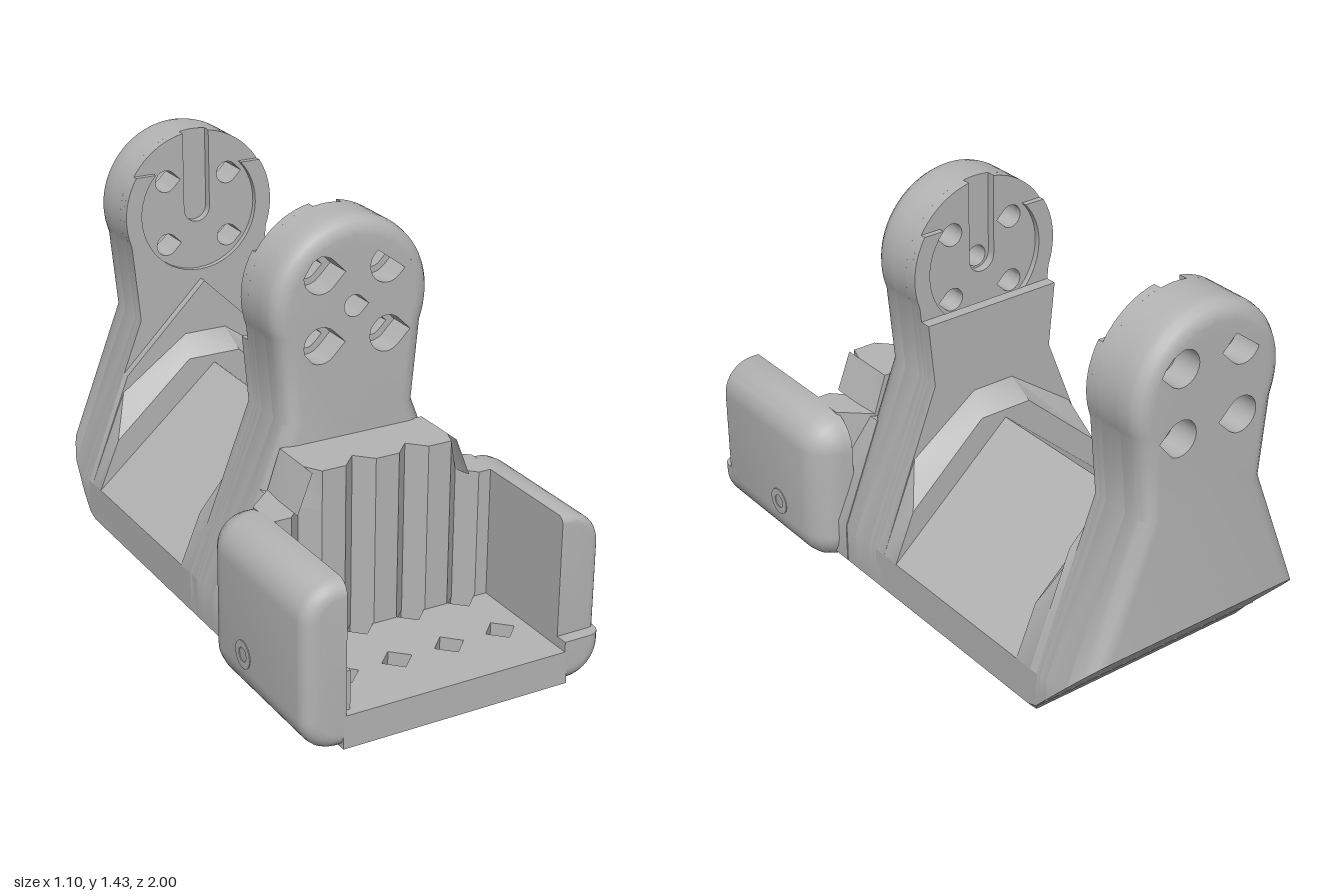
import * as THREE from 'three';
import { toCreasedNormals } from 'three/addons/utils/BufferGeometryUtils.js';

const CY = 1.15, R = 0.285; // centre and radius of the round arm head
const V = (x, y) => new THREE.Vector2(x, y);

// Half width of the bracket at a height
const EDGE = [[0.01, 0.43], [0.05, 0.465], [0.19, 0.465], [0.24 + 0.53, 0.24], [1.05, 0.267]];
function halfWidth(y) {
  if (y > 1.05) return Math.sqrt(Math.max(0, R * R - (y - CY) ** 2));
  for (let i = 1; i < EDGE.length; i++) {
    const [y0, w0] = EDGE[i - 1], [y1, w1] = EDGE[i];
    if (y <= y1) return w0 + (w1 - w0) * (y - y0) / (y1 - y0);
  }
  return 0.267;
}

// Points of an arc
function arc(cx, cy, r, a, b, n) {
  return Array.from({ length: n + 1 }, (_, i) => {
    const t = a + (b - a) * i / n;
    return V(cx + r * Math.cos(t), cy + r * Math.sin(t));
  });
}
const mirror = (pts) => [...pts, ...pts.map((p) => V(-p.x, p.y)).reverse()];
const foot = () => EDGE.map(([y, w]) => V(w, y));

// Bracket outline cut off flat at a height
function clipped(top) {
  return mirror([...EDGE.filter(([y]) => y < top).map(([y, w]) => V(w, y)), V(halfWidth(top), top)]);
}

// Extrusion through a table of stations, with a rule that moves the points of each station
function loft(pts, table, rule, holes = []) {
  const shape = new THREE.Shape(pts);
  holes.forEach((h) => shape.holes.push(new THREE.Path(h)));
  const n = table.length - 1;
  const g = new THREE.ExtrudeGeometry(shape, { depth: n, steps: n, bevelEnabled: false });
  const p = g.attributes.position;
  for (let i = 0; i < p.count; i++) {
    const s = table[Math.round(p.getZ(i))];
    const [x, y] = rule ? rule(p.getX(i), p.getY(i), s) : [p.getX(i), p.getY(i)];
    p.setXYZ(i, x, y, s.z);
  }
  return toCreasedNormals(g, 0.55);
}
const stations = (...zs) => zs.map((z) => ({ z }));

// Raises the underside to s.floor and rounds the rim by s.inset
function armRule(x, y, s) {
  const onRim = Math.abs(x) > halfWidth(y) - 0.004 || Math.hypot(x, y - CY) > R - 0.004 && y > 1.05;
  if (!onRim) return [x, y];
  y = Math.max(y, s.floor ?? 0.01);
  const d = s.inset ?? 0, sx = Math.sign(x);
  if (y > CY) {
    const k = (R - d) / R;
    return [x * k, CY + (y - CY) * k];
  }
  return [sx * (Math.min(Math.abs(x), halfWidth(y)) - d), y];
}

// Teardrop hole with its tip along dir
function teardrop(cx, cy, r, dir) {
  const pts = [...arc(0, 0, r, Math.PI / 4, Math.PI * 7 / 4, 18), V(r * Math.SQRT2, 0)];
  const out = pts.map((p) => V(cx + dir * p.x, cy + p.y));
  return dir < 0 ? out.reverse() : out;
}

export function createModel() {
  const grey = new THREE.MeshStandardMaterial({ color: 0xb4b4b4 });
  grey.name = 'plain grey';
  const model = new THREE.Group();
  const add = (name, geometry, parent = model) => {
    const m = new THREE.Mesh(geometry, grey);
    m.name = name;
    parent.add(m);
    return m;
  };

  // Roof-shaped base between the arms
  const roof = [V(0.43, 0.01), V(0.465, 0.05), V(0.465, 0.19), V(0, 0.6), V(-0.465, 0.19), V(-0.465, 0.05), V(-0.43, 0.01)];
  add('ridgedBase', loft(roof, [{ z: -0.765, f: 0.065 }, { z: -0.72, f: 0.01 }, { z: 0.12, f: 0.01 }],
    (x, y, s) => [x, Math.max(y, s.f)]));
  add('baseFront', loft(clipped(0.56), stations(0.3, 0.42)));

  // Arms, built from inner face outwards in layers
  const a0 = Math.asin((1.05 - CY) / R);
  const full = [...foot(), ...arc(0, CY, R, a0, Math.PI - a0, 48).slice(1, -1),
    ...foot().map((p) => V(-p.x, p.y)).reverse()];

  // Rim around the open-topped round recess
  const cut = 1.3, rr = 0.225, ac = Math.asin((cut - CY) / rr), ao = Math.asin((cut - CY) / R);
  const rim = [...foot(), ...arc(0, CY, R, a0, ao, 10).slice(1),
    ...arc(0, CY, rr, ac, -Math.PI - ac, 36),
    ...arc(0, CY, R, Math.PI - ao, Math.PI - a0, 10).slice(0, -1),
    ...foot().map((p) => V(-p.x, p.y)).reverse()];

  // Layer with a slot running down from the top
  const sw = 0.05, as = Math.acos(sw / R);
  const slotted = [...foot(), ...arc(0, CY, R, a0, as, 20).slice(1),
    ...arc(0, CY, sw, 0, -Math.PI, 14),
    ...arc(0, CY, R, Math.PI - as, Math.PI - a0, 20).slice(0, -1),
    ...foot().map((p) => V(-p.x, p.y)).reverse()];

  function arm(name, depth, dir, centreHole, floor) {
    const g = new THREE.Group();
    g.name = name;
    const at = (z, inset = 0) => ({ z, inset, floor: floor(z) });
    const holes = (r) => {
      const list = [];
      for (const x of [-0.12, 0.12]) for (const y of [1.03, 1.265]) list.push(teardrop(x, y, r, dir));
      return list;
    };
    const centre = centreHole ? [teardrop(0, 1.145, 0.037, dir)] : [];
    add('recessRim', loft(rim, [at(0), at(0.02)], armRule), g);
    add('slottedLayer', loft(slotted, [at(0.02), at(0.05)], armRule, holes(0.04)), g);
    add('armCore', loft(full, [at(0.05), at(depth - 0.1)], armRule, [...holes(0.04), ...centre]), g);
    const round = [0, 1, 2, 3, 4].map((i) => {
      const t = i * Math.PI / 8;
      return at(depth - 0.055 + 0.055 * Math.sin(t), 0.055 * (1 - Math.cos(t)));
    });
    add('roundedOuterLayer', loft(full, [at(depth - 0.1), ...round], armRule, [...holes(0.062), ...centre]), g);
    model.add(g);
    return g;
  }
  const front = arm('frontArm', 0.23, 1, true, () => 0.01);
  front.position.z = 0.11;
  const rear = arm('rearArm', 0.24, -1, false, (w) => 0.063 + 1.07 * w);
  rear.position.z = -0.76;
  rear.rotation.y = Math.PI;

  // Step and gusset on the inner faces of the arms
  add('frontArmStep', loft(clipped(1.0), stations(0.07, 0.11)));
  add('rearGusset', loft([V(-0.465, 0.19), V(0.465, 0.19), V(halfWidth(0.58), 0.58), V(0, 0.89), V(-halfWidth(0.58), 0.58)],
    stations(-0.765, -0.73)));

  // Sloping shoulders where the arms meet the roof
  const shoulder = mirror([V(0.46, 0.1), V(0.465, 0.19), V(0.39, 0.37), V(0.1, 0.63)]);
  const lean = (x, y, s) => {
    if (!s.up || y < 0.3) return [x, y];
    return Math.abs(x) > 0.2 ? [x * 0.85, 0.52] : [x * 0.8, 0.7];
  };
  add('frontShoulder', loft(shoulder, [{ z: 0 }, { z: 0.07, up: true }], lean));
  add('rearShoulder', loft(shoulder, [{ z: -0.73, up: true }, { z: -0.66 }], lean));

  // Tray floor with diamond openings
  const DX = [-0.285, -0.09, 0.105, 0.3], d = 0.055;
  const diamonds = [];
  for (const x of DX) for (const z of [0.54, 0.78]) diamonds.push([V(x - d, z), V(x, z - d), V(x + d, z), V(x, z + d)]);
  add('trayFloor', loft([V(-0.41, 0.34), V(0.41, 0.34), V(0.41, 1), V(-0.41, 1)], stations(-0.115, 0), null, diamonds)
    .rotateX(Math.PI / 2));

  // Fluted block behind the tray
  const flutes = [];
  for (const x of [...DX].reverse()) flutes.push(V(x + d, 0.545), V(x, 0.488), V(x - d, 0.545));
  const block = [V(-0.41, 0.42), V(-0.31, 0.33), V(0.31, 0.33), V(0.41, 0.42), V(0.41, 0.545), ...flutes, V(-0.41, 0.545)];
  add('flutedBlock', loft(block, stations(-0.57, -0.1)).rotateX(Math.PI / 2));
  add('flutedBlockTop', loft(block, stations(-0.705, -0.57), (x, y, s) => {
    const w = halfWidth(-s.z);
    return [THREE.MathUtils.clamp(x, -w, w), y];
  }).rotateX(Math.PI / 2));

  // Tray side walls, rounded at both ends
  const wall = [V(0.4, 0), ...arc(0.425, 0.12, 0.12, -Math.PI / 2, 0, 10),
    ...arc(0.425, 0.45, 0.12, 0, Math.PI / 2, 10), V(0.4, 0.57)];
  const wallRule = (x, y, s) => {
    const cx = Math.min(Math.abs(x), 0.425), cy = THREE.MathUtils.clamp(y, 0.12, 0.45);
    const k = 1 - (s.inset ?? 0) / 0.12;
    return [Math.sign(x) * (cx + (Math.abs(x) - cx) * k), Math.min(cy + (y - cy) * k, s.top ?? 1)];
  };
  const quarter = (z, r, out, top) => [0, 1, 2, 3, 4, 5].map((i) => {
    const t = i * Math.PI / 10;
    return { z: z + out * r * Math.sin(t), inset: r * (1 - Math.cos(t)), top };
  });
  const back = quarter(0.46, 0.119, -1).reverse();
  const leftWall = wall.map((p) => V(-p.x, p.y)).reverse();
  add('trayWallRight', loft(leftWall, [...back, ...quarter(0.95, 0.05, 1)], wallRule));
  add('trayWallLeft', loft(wall, [...back, ...quarter(0.93, 0.025, 1)], wallRule));
  add('trayLip', loft(wall, [{ z: 0.9, top: 0.15 }, ...quarter(0.95, 0.05, 1, 0.15)], wallRule));

  // Ledge inside the tray
  const ledge = add('trayLedge', new THREE.BoxGeometry(0.04, 0.14, 0.42));
  ledge.position.set(-0.39, 0.18, 0.76);

  // Screw rims on the outer walls
  const ring = [V(0.024, -0.01), V(0.048, -0.01), V(0.048, 0.003), V(0.024, 0.003), V(0.024, -0.01)];
  for (const s of [-1, 1]) {
    const m = add('screwRim', toCreasedNormals(new THREE.LatheGeometry(ring, 24), 0.5));
    m.position.set(s * 0.545, 0.17, 0.605);
    m.rotation.z = -s * Math.PI / 2;
  }
  return model;
}
